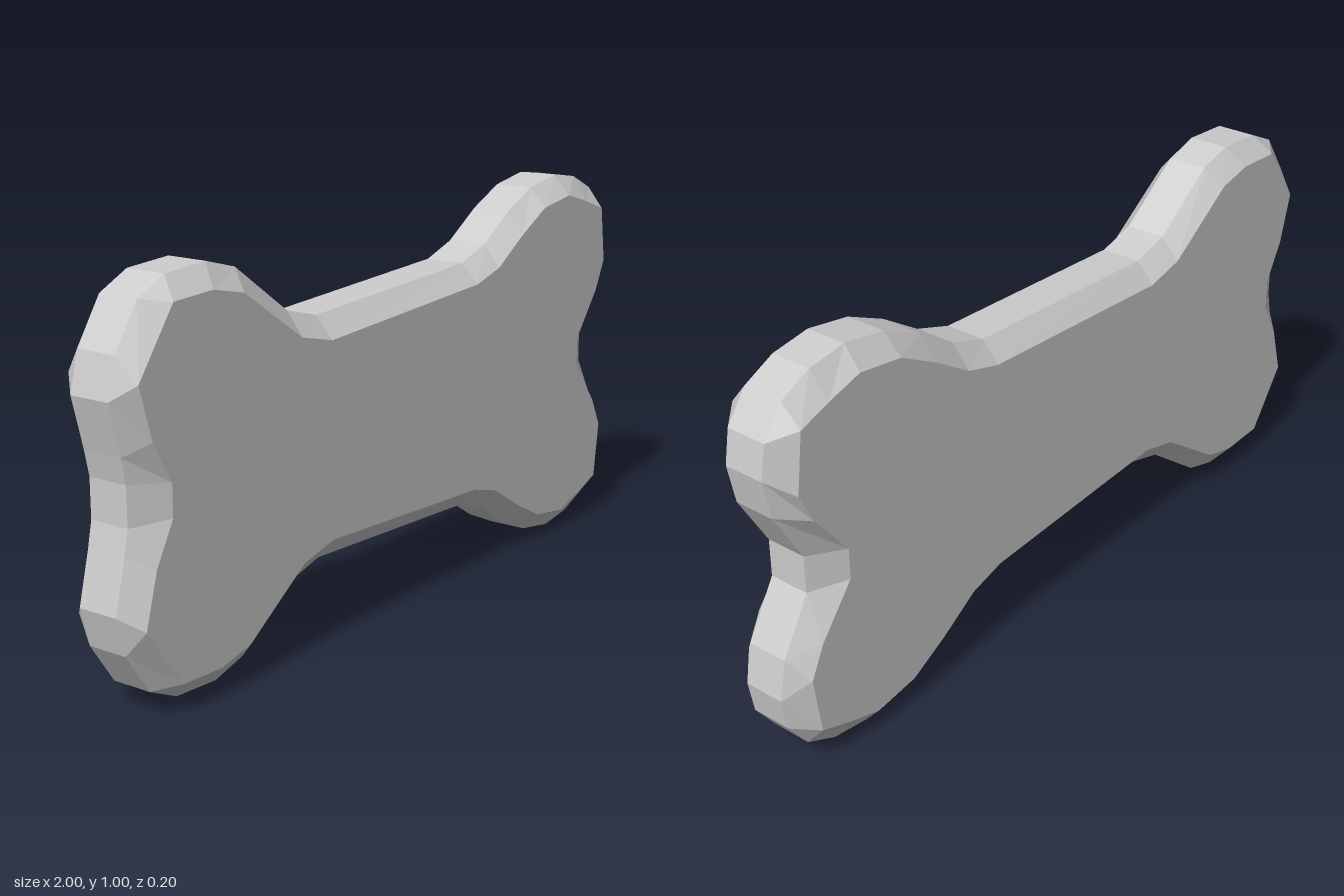
import * as THREE from 'three';

// Upper half of the outline, left notch to right notch:
// [rim x, rim y, face x, face y]; the lower half mirrors it about y = 0.5.
const UPPER = [
  [-0.955, 0.548, -0.865, 0.54],
  [-0.968, 0.61, -0.92, 0.64],
  [-1.0, 0.735, -0.957, 0.77],
  [-0.975, 0.83, -0.957, 0.77],
  [-0.905, 0.935, -0.845, 0.925],
  [-0.82, 0.975, -0.845, 0.925],
  [-0.69, 0.982, -0.72, 0.93],
  [-0.595, 0.955, -0.62, 0.907],
  [-0.415, 0.825, -0.42, 0.77],
  [-0.31, 0.797, -0.31, 0.743],
  [0.295, 0.825, 0.3, 0.775],
  [0.4, 0.86, 0.4, 0.803],
  [0.51, 0.93, 0.51, 0.872],
  [0.62, 0.98, 0.62, 0.93],
  [0.74, 1.0, 0.745, 0.948],
  [0.845, 0.985, 0.84, 0.92],
  [0.93, 0.945, 0.925, 0.89],
  [0.985, 0.87, 0.925, 0.89],
  [1.0, 0.785, 0.945, 0.74],
  [0.98, 0.685, 0.905, 0.66],
  [0.9, 0.548, 0.81, 0.54],
];
const RIM_Z = 0.053, FACE_Z = 0.1;

export function createModel() {
  const lower = UPPER.map(([a, b, c, d]) => [a, 1 - b, c, 1 - d]);
  const outline = [...lower, ...[...UPPER].reverse()]; // counter-clockwise
  const n = outline.length;

  // Four rings from back face to front face
  const ring = (k, z) => outline.map((p) => new THREE.Vector3(p[k], p[k + 1], z));
  const rings = [ring(2, -FACE_Z), ring(0, -RIM_Z), ring(0, RIM_Z), ring(2, FACE_Z)];

  const positions = [];
  const tri = (a, b, c) => {
    if (a.equals(b) || b.equals(c) || a.equals(c)) return;
    for (const v of [a, b, c]) positions.push(v.x, v.y, v.z);
  };

  // Bevelled edge bands
  for (let r = 0; r < 3; r++) {
    for (let i = 0; i < n; i++) {
      const j = (i + 1) % n, lo = rings[r], hi = rings[r + 1];
      tri(lo[i], lo[j], hi[j]);
      tri(lo[i], hi[j], hi[i]);
    }
  }

  // Flat front and back faces
  const [back, , , front] = rings.map((pts) => pts.filter((p, i) => !p.equals(pts[(i + 1) % n])));
  const contour = front.map((p) => new THREE.Vector2(p.x, p.y));
  for (const [a, b, c] of THREE.ShapeUtils.triangulateShape(contour, [])) {
    tri(front[a], front[b], front[c]);
    tri(back[a], back[c], back[b]);
  }

  const geometry = new THREE.BufferGeometry();
  geometry.setAttribute('position', new THREE.Float32BufferAttribute(positions, 3));
  geometry.computeVertexNormals();

  const bone = new THREE.Mesh(
    geometry,
    new THREE.MeshStandardMaterial({ color: 0xcccccc, flatShading: true })
  );
  bone.name = 'bone';
  const group = new THREE.Group();
  group.name = 'boneBiscuit';
  group.add(bone);
  return group;
}
